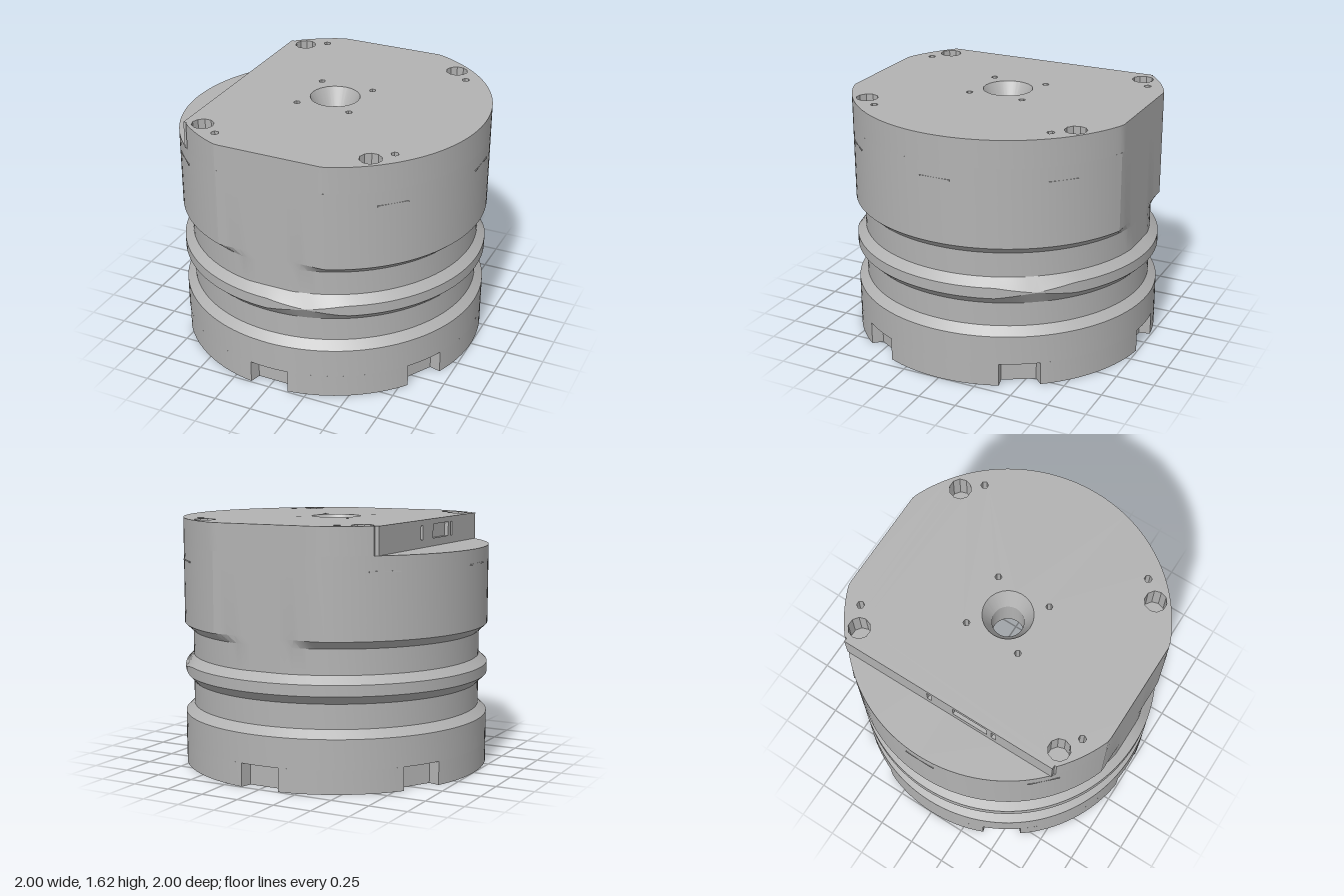
import * as THREE from 'three';
import { toCreasedNormals } from 'three/addons/utils/BufferGeometryUtils.js';

const TOP = 1.615, LEDGE = 1.44, FLAT = 0.935, SLOT_TOP = 0.15, STEP_X = -0.68, PLATE = 0.025;

export function createModel() {
  const group = new THREE.Group();
  const grey = new THREE.MeshStandardMaterial({ color: 0xb2b2b2 });
  grey.name = 'machined grey';

  const add = (name, geometry, crease = true) => {
    const mesh = new THREE.Mesh(crease ? toCreasedNormals(geometry, 0.3) : geometry, grey);
    mesh.name = name;
    group.add(mesh);
    return mesh;
  };

  const circleHole = (x, y, r, n = 10) => {
    const pts = [];
    for (let i = 0; i < n; i++) {
      const a = (i / n) * Math.PI * 2;
      pts.push(new THREE.Vector2(x + r * Math.cos(a), y + r * Math.sin(a)));
    }
    return new THREE.Path(pts);
  };

  // Unit circle cut by the two flats, optionally cut straight at minX
  const outline = (minX = -2) => {
    const zEdge = minX > -1 ? Math.sqrt(1 - minX * minX) : 0;
    const end = minX > -1 ? Math.PI - Math.asin(zEdge) : Math.PI;
    const pts = [];
    for (let i = 0; i <= 120; i++) {
      const a = -end + (2 * end * i) / 120;
      if (minX < -1 && i === 120) break;
      pts.push(new THREE.Vector2(Math.cos(a), THREE.MathUtils.clamp(Math.sin(a), -FLAT, FLAT)));
    }
    return new THREE.Shape(pts);
  };

  // Extrude a plan shape upwards from y = base
  const slab = (shape, base, height) => new THREE.ExtrudeGeometry(shape,
    { depth: height, bevelEnabled: false }).rotateX(-Math.PI / 2).translate(0, base, 0);

  // Hollow body: bore and ceiling downwards, then the grooved outside upwards
  const profile = [
    [0.16, TOP], [0.1, 1.5], [0.1, 1.3], [0.76, 1.3],
    [0.76, 0.93], [0.72, 0.88], [0.72, 0.72], [0.76, 0.67], [0.76, 0.6],
    [0.72, 0.545], [0.72, 0.39], [0.75, 0.34], [0.75, 0.1], [0.7, 0.07], [0.7, SLOT_TOP],
    [1, SLOT_TOP], [1, 0.34], [0.945, 0.39], [0.945, 0.545], [1, 0.6], [1, 0.67],
    [0.945, 0.72], [0.945, 0.88], [1, 0.93], [1, LEDGE],
  ].filter(([r, y]) => !(r < 0.76 && y < SLOT_TOP && r > 0.5));
  const body = new THREE.LatheGeometry(profile.map(([r, y]) => new THREE.Vector2(r, y)), 120);
  const pos = body.attributes.position;
  for (let i = 0; i < pos.count; i++) {
    const x = pos.getX(i), y = pos.getY(i), z = pos.getZ(i);
    if (Math.hypot(x, z) < 0.9) continue;
    // Front and back flats
    if (y > 0.71) pos.setZ(i, THREE.MathUtils.clamp(z, -FLAT, FLAT));
    // Two places where the middle ridge narrows to a point
    if (y > 0.59 && y < 0.68) {
      for (const dip of [0.25, 2.19]) {
        const k = Math.max(0, 1 - Math.abs(Math.atan2(x, z) - dip) / 0.25);
        if (k > 0) pos.setY(i, y + (0.635 - y) * k);
      }
    }
  }
  add('groovedBody', body);

  // Ledge surface, also the floor of the top holes
  const ledge = outline();
  ledge.holes.push(circleHole(0, 0, 0.12, 24));
  add('ledge', new THREE.ShapeGeometry(ledge).rotateX(-Math.PI / 2).translate(0, LEDGE, 0), false);

  // Top block with bolt, pin and centre holes
  const top = outline(STEP_X + PLATE);
  top.holes.push(circleHole(0, 0, 0.16, 24));
  for (const s of [-1, 1]) {
    top.holes.push(circleHole(-0.56, s * 0.715, 0.07), circleHole(0.56, s * 0.715, 0.07));
    top.holes.push(circleHole(-0.43, s * 0.795, 0.025, 6), circleHole(0.665, s * 0.6, 0.025, 6));
    top.holes.push(circleHole(-0.18, s * 0.185, 0.022, 6), circleHole(0.18, s * 0.185, 0.022, 6));
  }
  add('topBlock', slab(top, LEDGE, TOP - LEDGE));

  // Step wall with three pockets
  const rect = (Type, x0, y0, x1, y1) => new Type([[x0, y0], [x1, y0], [x1, y1], [x0, y1]]
    .map(([x, y]) => new THREE.Vector2(x, y)));
  const wall = rect(THREE.Shape, -0.742, LEDGE, 0.742, TOP);
  for (const [z, w] of [[0.16, 0.12], [-0.13, 0.015], [0.33, 0.015]]) {
    wall.holes.push(rect(THREE.Path, z - w, 1.49, z + w, 1.58));
  }
  add('stepWall', new THREE.ExtrudeGeometry(wall, { depth: PLATE, bevelEnabled: false })
    .rotateY(-Math.PI / 2).translate(STEP_X + PLATE, 0, 0));

  // Slotted foot ring with bolt holes
  const foot = [];
  const turn = (x, y, a) => new THREE.Vector2(
    x * Math.cos(a) - y * Math.sin(a), x * Math.sin(a) + y * Math.cos(a));
  const holes = [circleHole(0, 0, 0.7, 96)];
  for (let k = 0; k < 6; k++) {
    const a = Math.PI / 2 + (k * Math.PI) / 3;
    foot.push(turn(0.991, -0.13, a), turn(0.92, -0.11, a), turn(0.92, 0.11, a), turn(0.991, 0.13, a));
    for (let i = 1; i < 16; i++) {
      foot.push(turn(1, 0, a + 0.131 + (i / 16) * (Math.PI / 3 - 0.262)));
    }
    for (const [deg, r] of [[15, 0.055], [30, 0.03], [45, 0.055]]) {
      const c = turn(0.905, 0, a + THREE.MathUtils.degToRad(deg));
      holes.push(circleHole(c.x, c.y, r, 8));
    }
  }
  const footShape = new THREE.Shape(foot);
  footShape.holes.push(...holes);
  add('footRing', slab(footShape, 0, SLOT_TOP));

  // Narrow slits round the upper body
  for (const deg of [45, 90, 135, 225, 270, 315]) {
    const a = THREE.MathUtils.degToRad(deg);
    const slit = add('slit', new THREE.BoxGeometry(0.2, 0.009, 0.02), false);
    slit.position.set(0.991 * Math.sin(a), 1.345, 0.991 * Math.cos(a));
    slit.rotation.y = a;
  }
  return group;
}
